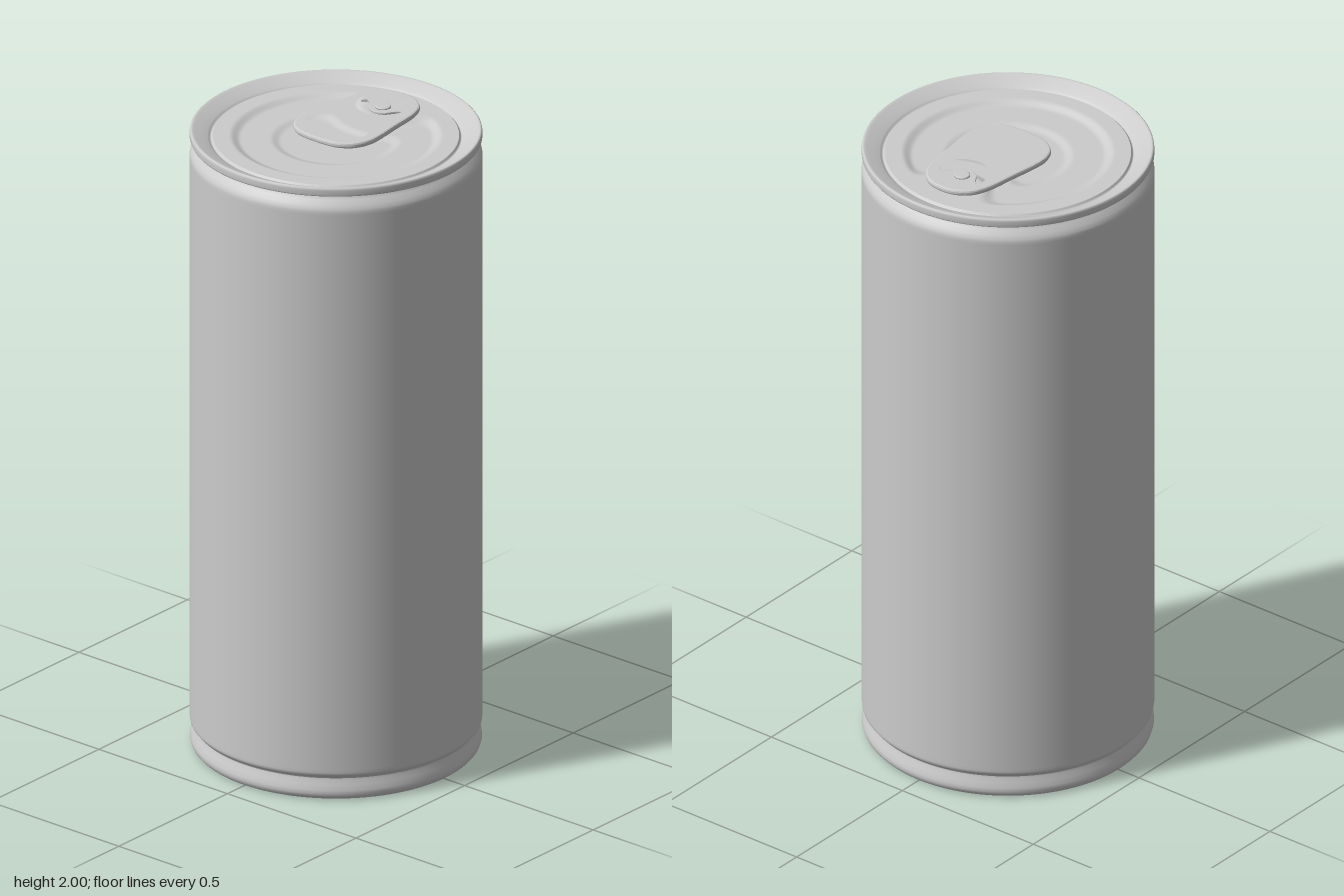
import * as THREE from 'three';
import { mergeVertices, toCreasedNormals } from 'three/addons/utils/BufferGeometryUtils.js';

const aluminium = new THREE.MeshStandardMaterial({ color: 0xcccccc });
aluminium.name = 'aluminium';

const PANEL_Y = 1.974, PANEL_R = 0.366;

function part(name, geometry) {
  const mesh = new THREE.Mesh(geometry, aluminium);
  mesh.name = name;
  return mesh;
}

function lathe(name, points) {
  return part(name, new THREE.LatheGeometry(points.map(p => new THREE.Vector2(...p)), 128));
}

// Closed smooth outline from its right half, listed from back to front
function outline(half) {
  const mirrored = half.slice(1, -1).reverse().map(([x, y]) => [-x, y]);
  const points = [...half, ...mirrored].map(([x, y]) => new THREE.Vector3(x, y, 0));
  return new THREE.CatmullRomCurve3(points, true, 'centripetal').getPoints(120)
    .slice(0, -1).map(p => new THREE.Vector2(p.x, p.y));
}

// Flat plate with rounded edges lying between two heights
function plate(name, half, holes, bottom, top, bevel) {
  const shape = new THREE.Shape(outline(half));
  shape.holes = holes.map(h => new THREE.Path(outline(h)));
  const geometry = new THREE.ExtrudeGeometry(shape, {
    depth: top - bottom - 2 * bevel, bevelThickness: bevel, bevelSize: bevel,
    bevelOffset: -bevel, bevelSegments: 2, curveSegments: 1,
  });
  geometry.rotateX(-Math.PI / 2).translate(0, bottom + bevel, 0);
  return part(name, toCreasedNormals(geometry, 0.35));
}

// Smooth maximum of two distances
function smoothMax(a, b, k) {
  const h = Math.max(k - Math.abs(a - b), 0) / k;
  return Math.max(a, b) + h * h * k / 4;
}

// Lid panel: two pressed steps that run around a raised island under the rivet
function lidPanel() {
  let geometry = new THREE.RingGeometry(0, PANEL_R, 160, 72).rotateX(-Math.PI / 2);
  const pos = geometry.attributes.position;
  for (let i = 0; i < pos.count; i++) {
    const x = pos.getX(i), z = pos.getZ(i), r = Math.hypot(x, z);
    const island = Math.hypot(x, z + 0.28);
    const outer = smoothMax(r - 0.302, 0.115 - island, 0.06);
    const inner = smoothMax(r - 0.182, 0.2 - island, 0.05);
    const step = d => 1 - THREE.MathUtils.smoothstep(d, -0.018, 0.014);
    pos.setY(i, PANEL_Y - 0.012 * step(outer) - 0.008 * step(inner));
  }
  geometry.deleteAttribute('normal');
  geometry.deleteAttribute('uv');
  geometry = mergeVertices(geometry, 1e-5);
  geometry.computeVertexNormals();
  return part('lidPanel', geometry);
}

function createPullTab() {
  const tab = new THREE.Group();
  tab.name = 'pullTab';
  const edge = [[0, 0.32], [0.05, 0.311], [0.09, 0.28], [0.112, 0.23], [0.126, 0.13], [0.139, 0.03],
    [0.138, -0.01], [0.12, -0.055], [0.08, -0.086], [0.035, -0.095], [0, -0.096]];
  const rivetHole = [[0, 0.3], [0.04, 0.294], [0.07, 0.272], [0.086, 0.235], [0.084, 0.195],
    [0.065, 0.157], [0.035, 0.136], [0, 0.13]];
  const fingerHole = [[0, 0.085], [0.04, 0.085], [0.07, 0.084], [0.08, 0.075], [0.107, 0.03],
    [0.113, -0.005], [0.095, -0.045], [0.055, -0.07], [0, -0.076]];
  const tongue = [[0, 0.308], [0.045, 0.3], [0.075, 0.278], [0.092, 0.24], [0.087, 0.218],
    [0.07, 0.23], [0.052, 0.217], [0.03, 0.187], [0, 0.176]];
  tab.add(plate('tabRing', edge, [rivetHole, fingerHole], 1.982, 2, 0.006));
  tab.add(plate('tabTongue', tongue, [], 1.983, 1.991, 0.002));
  // Rivet joining the tongue to the lid
  const rivet = lathe('rivet', [[0.02, 1.965], [0.02, 1.99], [0.024, 1.991], [0.024, 1.994],
    [0.022, 1.996], [0.02, 1.9965], [0, 1.9965]]);
  rivet.position.z = -0.217;
  tab.add(rivet);
  return tab;
}

export function createModel() {
  const can = new THREE.Group();
  can.name = 'drinkCan';

  // Domed base
  const dome = [];
  for (let i = 0; i <= 14; i++) {
    const r = 0.405 * i / 14;
    dome.push([r, 0.004 + 0.07 * (1 - (r / 0.405) ** 2)]);
  }
  can.add(lathe('base', [...dome, [0.411, 0.001], [0.417, 0], [0.424, 0.003], [0.431, 0.011],
    [0.434, 0.021], [0.433, 0.032], [0.428, 0.048], [0.423, 0.062], [0.422, 0.068]]));

  // Side wall with a pinched foot and a tapered shoulder
  can.add(lathe('wall', [[0.422, 0.068], [0.424, 0.073], [0.43, 0.078], [0.434, 0.083], [0.435, 0.09],
    [0.435, 0.1], [0.435, 1.905], [0.435, 1.915], [0.433, 1.923], [0.427, 1.935],
    [0.415, 1.948], [0.408, 1.957], [0.406, 1.966]]));

  // Rolled rim sloping down to the groove around the lid
  can.add(lathe('rim', [[0.406, 1.964], [0.428, 1.965], [0.433, 1.967], [0.435, 1.971], [0.435, 1.986],
    [0.434, 1.991], [0.431, 1.994], [0.427, 1.9935], [0.42, 1.991], [0.4, 1.982], [0.382, 1.974],
    [0.377, 1.97], [0.374, 1.967], [0.371, 1.967], [0.369, 1.971], [PANEL_R, PANEL_Y]]));

  can.add(lidPanel(), createPullTab());
  return can;
}
